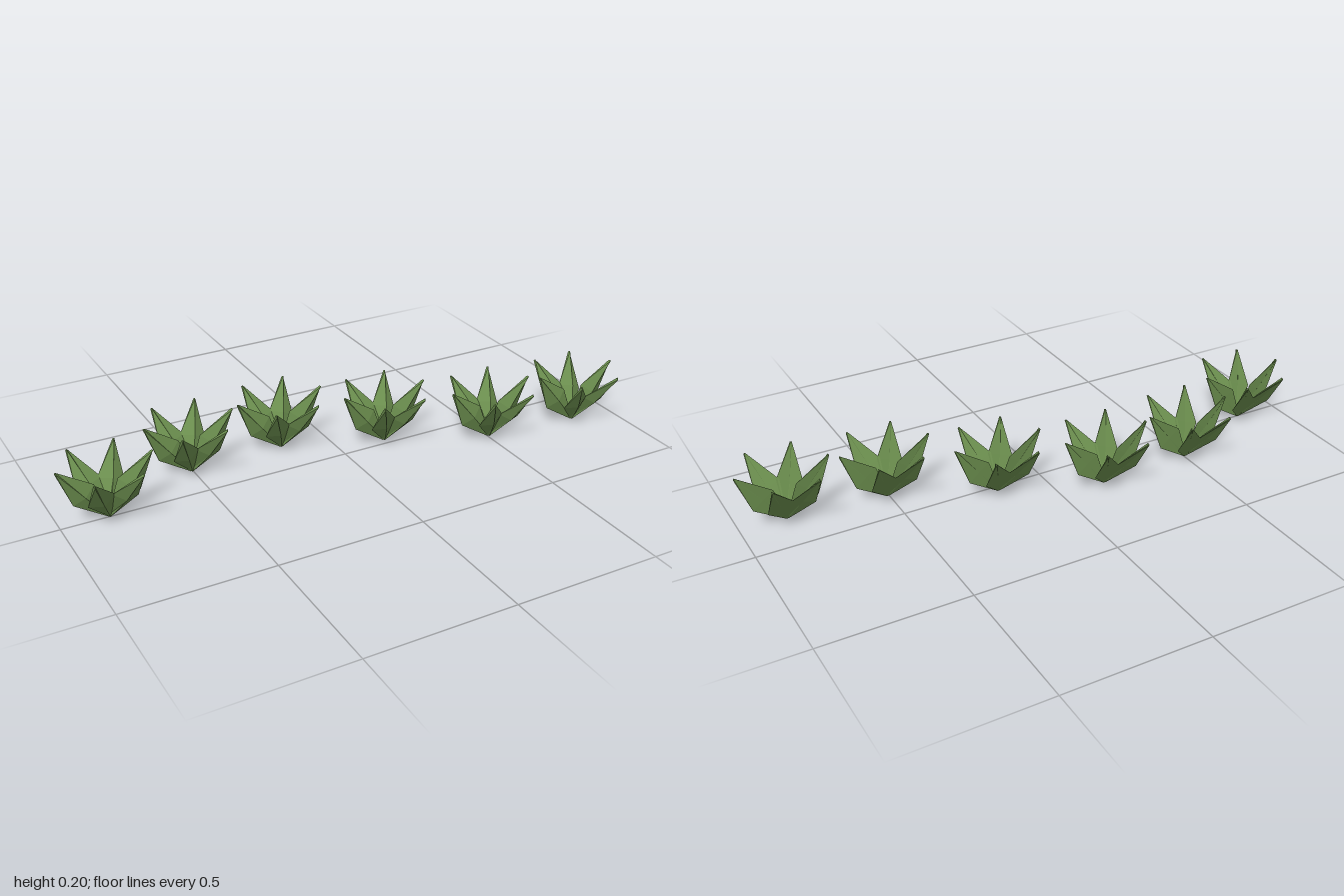
import * as THREE from 'three';

// One blade growing along +y: a flattened, keeled diamond lofted from three sections
function leafGeometry() {
  // [height, half width, keel z, edge z, back z]
  const sections = [
    [0, 0.005, 0.005, -0.003, -0.004],
    [0.117, 0.046, 0.014, -0.008, -0.006],
    [0.247, 0.003, 0.004, -0.004, -0.006],
  ];
  const positions = [];
  const index = [];
  for (const [y, w, keel, edge, back] of sections) {
    positions.push(0, y, keel, w, y, edge, 0, y, back, -w, y, edge);
  }
  for (let s = 0; s < sections.length - 1; s++) {
    for (let i = 0; i < 4; i++) {
      const a = s * 4 + i;
      const b = s * 4 + (i + 1) % 4;
      index.push(a, b, b + 4, a, b + 4, a + 4);
    }
  }
  // end caps
  const top = (sections.length - 1) * 4;
  index.push(0, 2, 1, 0, 3, 2, top, top + 1, top + 2, top, top + 2, top + 3);
  const geometry = new THREE.BufferGeometry();
  geometry.setAttribute('position', new THREE.Float32BufferAttribute(positions, 3));
  geometry.setIndex(index);
  geometry.computeVertexNormals();
  return geometry;
}

export function createModel() {
  const group = new THREE.Group();
  group.name = 'plantRow';
  const material = new THREE.MeshStandardMaterial({ color: 0x6b8e4e, flatShading: true });
  const geometry = leafGeometry();
  const up = new THREE.Vector3(0, 1, 0);

  // Six tufts along a wavy row
  for (let p = 0; p < 6; p++) {
    const plant = new THREE.Group();
    plant.name = 'plant';
    plant.position.set(-0.84 + p * 0.336, 0.005, -0.168 * Math.sin(p));

    // Six leaves leaning outward, each tilted straight from upright
    for (let i = 0; i < 6; i++) {
      const angle = (i * Math.PI) / 3;
      const direction = new THREE.Vector3(0.63 * Math.cos(angle), 0.776, 0.63 * Math.sin(angle)).normalize();
      const leaf = new THREE.Mesh(geometry, material);
      leaf.name = 'leaf';
      leaf.quaternion.setFromUnitVectors(up, direction);
      plant.add(leaf);
    }
    group.add(plant);
  }
  return group;
}
